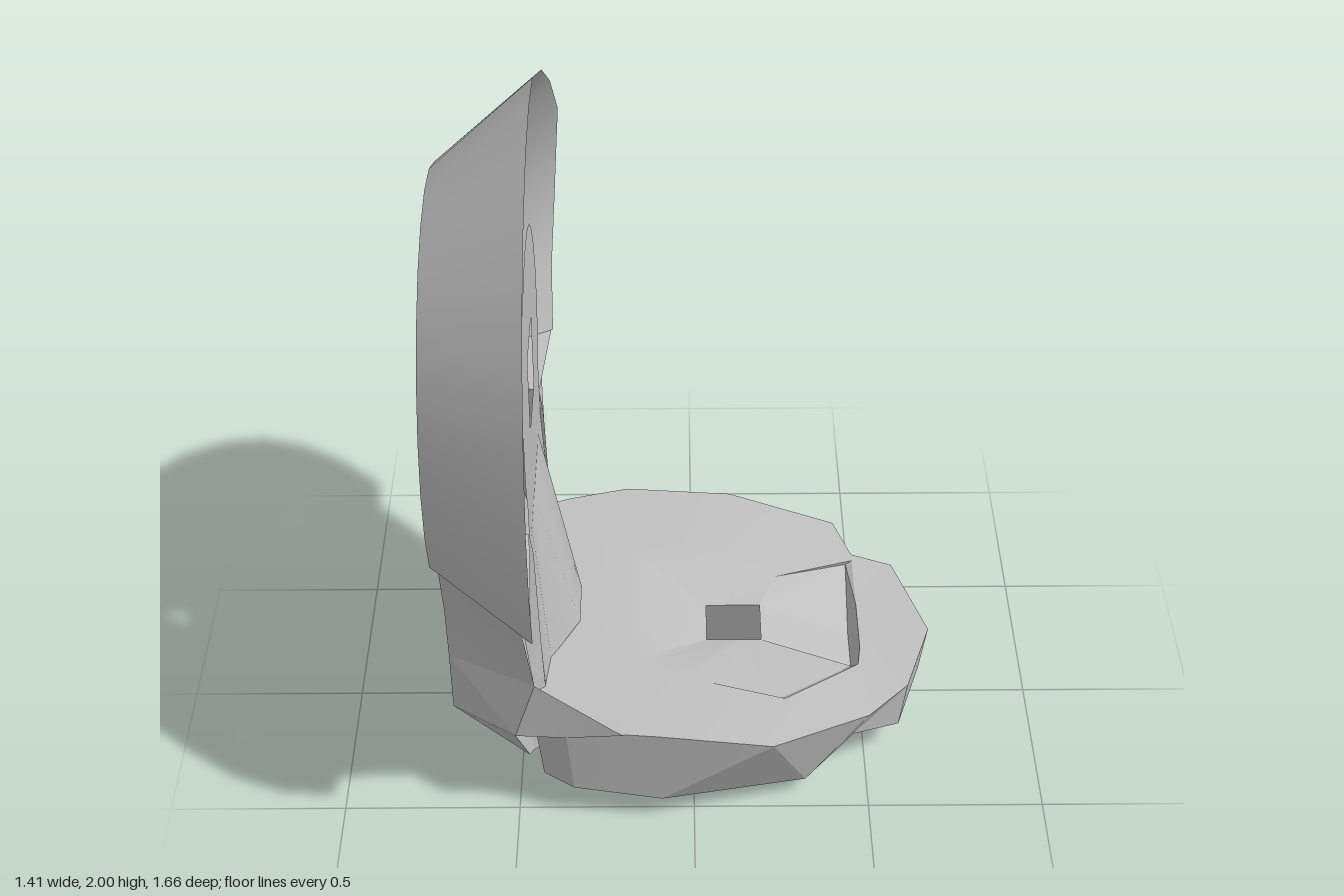
import * as THREE from 'three';
import { toCreasedNormals } from 'three/addons/utils/BufferGeometryUtils.js';

const grey = new THREE.MeshStandardMaterial({ color: 0xbfbfbf, side: THREE.DoubleSide });
grey.name = 'grey';

const CY = 1.17; // height of the disc centre

function mesh(name, geometry) {
  const m = new THREE.Mesh(geometry, grey);
  m.name = name;
  return m;
}

// Height read off a short list of [x, y] points
function along(points, x) {
  for (let i = 1; i < points.length; i++) {
    const [x0, y0] = points[i - 1], [x1, y1] = points[i];
    if (x <= x1) return y0 + (y1 - y0) * Math.max(0, (x - x0) / (x1 - x0));
  }
  return points[points.length - 1][1];
}

// Skin between rows of points; closed joins row ends and the last row to the first
function loft(rows, crease, closed = false) {
  const n = rows[0].length;
  const index = [];
  for (let r = 0; r < rows.length - (closed ? 0 : 1); r++) {
    const s = (r + 1) % rows.length;
    for (let i = 0; i < n - (closed ? 0 : 1); i++) {
      const j = (i + 1) % n;
      const a = r * n + i, b = r * n + j, c = s * n + i, d = s * n + j;
      index.push(a, c, b, b, c, d);
    }
  }
  const g = new THREE.BufferGeometry();
  g.setAttribute('position', new THREE.Float32BufferAttribute(rows.flat(2), 3));
  g.setIndex(index);
  return toCreasedNormals(g, crease);
}

// Upright sheet: a rounded head over a neck, with a square window
function keyholePlate(radius, startAngle, neck, x, [h, y0, y1]) {
  const pts = [];
  for (let i = 0; i <= 16; i++) {
    const a = startAngle + ((Math.PI - 2 * startAngle) * i) / 16;
    pts.push(new THREE.Vector2(radius * Math.cos(a), CY + radius * Math.sin(a)));
  }
  neck.forEach(([z, y]) => pts.push(new THREE.Vector2(-z, y)));
  [...neck].reverse().forEach(([z, y]) => pts.push(new THREE.Vector2(z, y)));
  const shape = new THREE.Shape(pts);
  shape.holes.push(new THREE.Path([[-h, y0], [-h, y1], [h, y1], [h, y0]].map(p => new THREE.Vector2(...p))));
  return new THREE.ShapeGeometry(shape).rotateY(Math.PI / 2).translate(x, 0, 0);
}

// Conical rim flaring forward from the back plate, bulging a little on one side
function flaredRim() {
  const back = [], front = [];
  for (let i = 0; i <= 16; i++) {
    const a = THREE.MathUtils.degToRad(-25 + (230 * i) / 16);
    const b = THREE.MathUtils.degToRad(-30 + (240 * i) / 16);
    const bulge = 0.04 * Math.max(0, 1 - Math.abs(i - 12) / 3);
    back.push([-0.71, CY + 0.58 * Math.sin(b), 0.58 * Math.cos(b)]);
    front.push([-0.425 + bulge, CY + 0.83 * Math.sin(a), 0.83 * Math.cos(a)]);
  }
  return loft([back, front], 0.6);
}

// One side of the neck: back edge, outer flange, recess, panel edge.
// The right flange tapers in towards the tray more than the left one.
function neckRows(s) {
  const flange = s > 0
    ? [[-0.44, 0.50, 0.55], [-0.50, 0.31, 0.54]]
    : [[-0.45, 0.54, 0.55], [-0.47, 0.33, 0.45]];
  return [
    [[-0.71, 0.88, 0.50], [-0.43, 0.82, 0.75], [-0.48, 0.87, 0.355], [-0.45, 0.87, 0.345]],
    [[-0.71, 0.76, 0.33], [-0.46, 0.76, 0.65], [-0.50, 0.76, 0.37], [-0.44, 0.80, 0.345]],
    [[-0.71, 0.50, 0.22], flange[0], [-0.52, 0.50, 0.39], [-0.43, 0.50, 0.35]],
    [[-0.71, 0.30, 0.18], flange[1], [-0.48, 0.32, 0.41], [-0.42, 0.31, 0.36]],
    [[-0.71, 0.08, 0.15], [-0.47, 0.13, 0.42], [-0.46, 0.13, 0.40], [-0.42, 0.13, 0.36]],
  ].map(row => row.map(([x, y, z]) => [x, y, z * s]));
}

// Faceted tray: rings run from the underside, over the edge, to the drain hole
function tray() {
  const outline = [[0.7, 0], [0.62, 0.26], [0.5, 0.4], [0.22, 0.58], [-0.1, 0.57], [-0.36, 0.55],
    [-0.45, 0.5], [-0.45, 0.2], [-0.45, -0.2], [-0.45, -0.5], [-0.38, -0.53], [-0.2, -0.58],
    [0.12, -0.575], [0.44, -0.49], [0.49, -0.34], [0.61, -0.3]];
  const cx = 0.12;
  const topY = x => along([[-0.2, 0.335], [0.1, 0.32], [0.5, 0.255], [0.7, 0.24]], x);
  const edgeY = x => along([[-0.45, 0.12], [-0.2, 0.08], [0.3, 0.06], [0.42, 0.065], [0.6, 0.09]], x);
  const square = (h, y) => outline.map(([x, z]) => {
    const dx = x - cx, m = Math.max(Math.abs(dx), Math.abs(z));
    const snap = v => (Math.abs(v) / m > 0.5 ? Math.sign(v) : v / m) * h;
    return [cx + snap(dx), y, snap(z)];
  });
  const scaled = (k, y) => outline.map(([x, z]) => [cx + (x - cx) * k, y(cx + (x - cx) * k), z * k]);
  const rim = scaled(0.55, x => topY(x) - 0.005);
  const floor = scaled(0.4, x => topY(x) - 0.01);
  // Hollow in front of the drain hole
  const hollow = { 0: [0.49, 0], 1: [0.49, 0.1], 15: [0.49, -0.1], 2: [0.48, 0.18], 14: [0.49, -0.31], 3: [0.26, 0.37] };
  for (const [i, [x, z]] of Object.entries(hollow)) {
    const low = ['0', '1', '15'].includes(i);
    rim[i] = [x, topY(x), z];
    floor[i] = [x - 0.02, low ? 0.14 : topY(x) - 0.01, z * 0.98];
  }
  // Lower edge, notched on both sides behind the front lip
  const edge = scaled(0.96, edgeY);
  edge[2] = [0.46, 0.15, 0.36];
  edge[3] = [0.32, 0.05, 0.44];
  edge[13] = [0.34, 0.06, -0.44];
  edge[14] = [0.44, 0.13, -0.31];
  const rings = [
    square(0.15, 0.025),
    scaled(0.36, x => along([[-0.1, 0.04], [0.28, 0]], x)),
    edge,
    scaled(1, topY), rim, floor,
    square(0.08, 0.27),
  ];
  return loft(rings, 0.25, true);
}

export function createModel() {
  const group = new THREE.Group();
  group.name = 'wallHolder';

  const backNeck = [[0.33, 0.76], [0.22, 0.5], [0.18, 0.3], [0.15, 0.08]];
  group.add(mesh('backPlate', keyholePlate(0.58, -Math.PI / 6, backNeck, -0.71, [0.1, 1.07, 1.28])));
  group.add(mesh('flaredRim', flaredRim()));

  const panelNeck = [[0.345, 0.87], [0.345, 0.8]];
  group.add(mesh('frontPanel', keyholePlate(0.41, -0.57, panelNeck, -0.45, [0.11, 1.05, 1.28])));

  // Ledge joining the tops of the two windows
  group.add(mesh('windowLedge', loft([
    [[-0.71, 1.28, 0.1], [-0.71, 1.28, -0.1]],
    [[-0.45, 1.28, 0.11], [-0.45, 1.28, -0.11]],
  ], 0.2)));

  // Lower panel leaning forward in the middle to meet the tray
  const foot = [[0.35, -0.42, 0.31], [0.23, -0.41, 0.33], [0.08, -0.33, 0.345],
    [-0.08, -0.33, 0.345], [-0.23, -0.41, 0.33], [-0.35, -0.42, 0.31]];
  group.add(mesh('lowerPanel', loft([
    foot.map(([z]) => [-0.45, 0.8, z * 0.986]),
    foot.map(([z, x, y]) => [x, y, z]),
  ], 0.6)));

  for (const s of [1, -1]) {
    const side = s > 0 ? 'left' : 'right';
    const rows = neckRows(s);
    const [back, outer, recess, panel] = rows[0];
    group.add(mesh(side + 'NeckSide', loft(rows, 0.2)));
    // Shelf closing the lower end of the rim
    group.add(mesh(side + 'Shelf', loft([[back, outer], [recess, panel]], 0.2)));
  }

  // Gusset from the left flange down to the tray edge, with its sloping inner face
  group.add(mesh('leftGusset', loft([
    [[-0.50, 0.31, 0.54], [-0.36, 0.31, 0.55]],
    [[-0.44, 0.50, 0.55], [-0.20, 0.335, 0.57]],
    [[-0.45, 0.33, 0.42], [-0.20, 0.33, 0.50]],
  ], 0.2)));

  group.add(mesh('tray', tray()));
  return group;
}
